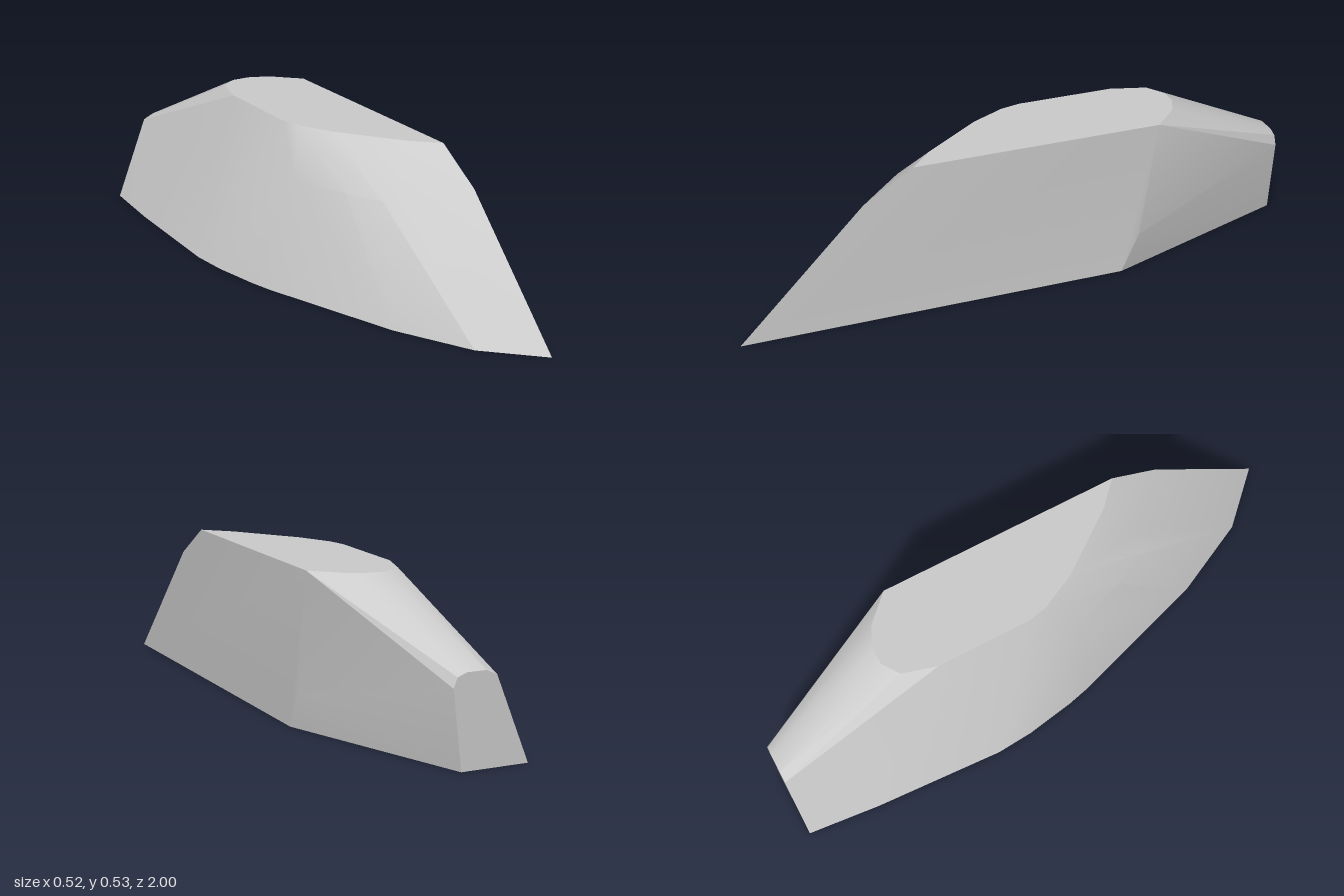
import * as THREE from 'three';
import { ConvexGeometry } from 'three/addons/geometries/ConvexGeometry.js';
import { toCreasedNormals } from 'three/addons/utils/BufferGeometryUtils.js';

const level = (y, pairs) => pairs.map(([x, z]) => new THREE.Vector3(x, y, z));

export function createModel() {
  const group = new THREE.Group();

  // Flat base outline, pointed at the front
  const base = level(0, [
    [0.26, 1], [0.09, 0.83], [-0.04, 0.57], [-0.2, 0.08], [-0.22, 0], [-0.25, -0.17],
    [-0.26, -0.3], [-0.235, -0.75], [-0.21, -1], [0.02, -1], [0.26, -0.32],
  ]);

  // Flat top outline
  const top = level(0.53, [
    [0.26, 0.41], [0.175, 0.33], [0.02, 0.12], [-0.04, 0], [-0.055, -0.07], [-0.055, -0.4],
    [-0.02, -0.52], [0.04, -0.56], [0.1, -0.56], [0.17, -0.53], [0.26, -0.44],
  ]);

  // Bevel corners between the sloping front and the top
  const shoulder = [
    ...level(0.425, [[0.26, 0.58], [0.09, 0.41]]),
    ...level(0.372, [[0.03, 0.402], [-0.03, 0.28], [-0.1, 0.08]]),
  ];

  // Rounded upper edge of the upright back face, and the bend in the back side edge
  const back = [
    [0.05, 0.257], [0.037, 0.29], [0.005, 0.302], [-0.06, 0.302], [-0.097, 0.285],
  ].map(([x, y]) => new THREE.Vector3(x, y, -1));
  back.push(new THREE.Vector3(0.26, 0.13, -0.38));

  const geometry = toCreasedNormals(
    new ConvexGeometry([...base, ...top, ...shoulder, ...back]), 0.35);
  const body = new THREE.Mesh(geometry, new THREE.MeshStandardMaterial({ color: 0xcccccc }));
  body.name = 'facetedBody';
  group.add(body);
  return group;
}
